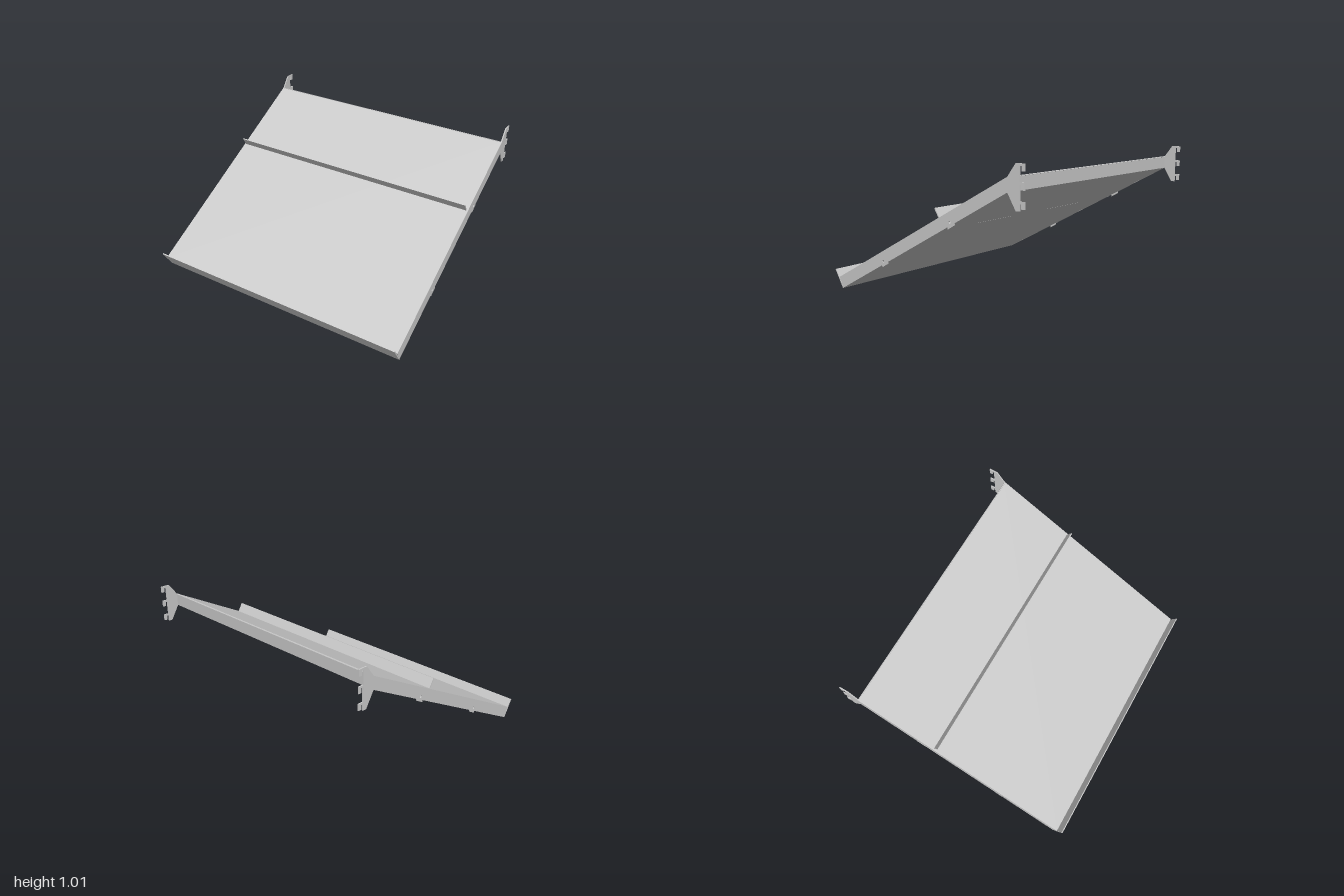
import * as THREE from 'three';

const material = new THREE.MeshStandardMaterial({ color: 0xcccccc, flatShading: true, side: THREE.DoubleSide });
const PLATE = 0.008;

// Extrudes a [z, y] outline across x, starting at xMin.
function profile(name, points, xMin, width, holes = []) {
  const shape = new THREE.Shape(points.map(([z, y]) => new THREE.Vector2(z, y)));
  for (const [z, y, r] of holes) {
    const hole = new THREE.Path();
    hole.absarc(z, y, r, 0, Math.PI * 2, true);
    shape.holes.push(hole);
  }
  const geometry = new THREE.ExtrudeGeometry(shape, { depth: width, bevelEnabled: false, curveSegments: 10 });
  geometry.rotateY(-Math.PI / 2);
  geometry.translate(xMin + width, 0, 0);
  const mesh = new THREE.Mesh(geometry, material);
  mesh.name = name;
  return mesh;
}

// Thin sheet seen edge-on as a line from a to b, thickened to one side.
function sheet(name, a, b, halfWidth, thickness) {
  const dz = b[0] - a[0], dy = b[1] - a[1], k = thickness / Math.hypot(dz, dy);
  const n = [-dy * k, dz * k];
  return profile(name, [a, b, [b[0] + n[0], b[1] + n[1]], [a[0] + n[0], a[1] + n[1]]], -halfWidth, 2 * halfWidth);
}

export function createModel() {
  const group = new THREE.Group();
  group.name = 'slopedShelf';

  // Corners of the sloped tray in side profile
  const frontLow = [0.8, 0], frontHigh = [0.84, 0.075];
  const backHigh = [-0.75, 0.92], backLow = [-0.75, 0.828];
  const inner = 1 - PLATE;

  // Hollow tray body
  group.add(sheet('topPanel', backHigh, frontHigh, inner, -0.005));
  group.add(sheet('bottomPanel', frontLow, backLow, inner, -0.005));
  group.add(sheet('backPanel', backLow, backHigh, inner, -0.005));

  // Front lip and middle divider, both square to the slope
  group.add(sheet('frontLip', frontLow, [0.878, 0.13], 1, -0.008));
  group.add(sheet('divider', [-0.222, 0.545], [-0.141, 0.677], 0.988, 0.008));

  // Side brackets: tray side, lower tabs with holes, and rear hooks
  const tab = (z) => {
    const y = (0.8 - z) * 0.534;
    return [[z, y], [z - 0.001, y - 0.015], [z - 0.058, y + 0.017], [z - 0.059, y + 0.031]];
  };
  const hook = (y) => [
    [-0.84, y - 0.045], [-0.84, y - 0.014], [-0.853, y - 0.014],
    [-0.853, y - 0.045], [-0.877, y - 0.045], [-0.877, y],
  ];
  const outline = [
    frontLow, ...tab(0.363), ...tab(-0.268), backLow,
    [-0.812, 0.725], [-0.84, 0.725],
    [-0.84, 0.738], [-0.853, 0.738], [-0.877, 0.738], [-0.877, 0.783], [-0.84, 0.783],
    ...hook(0.893).slice(1), [-0.84, 0.893],
    ...hook(1.003).slice(1), [-0.812, 1.003],
    backHigh, frontHigh,
  ];
  // Lowest hook has the same downward notch as the others
  outline.splice(outline.findIndex((p) => p[1] === 0.738), 2, [-0.84, 0.769], [-0.853, 0.769], [-0.853, 0.738]);
  const holes = [[0.35, 0.264, 0.009], [-0.287, 0.603, 0.009]];
  group.add(profile('leftBracket', outline, inner, PLATE, holes));
  group.add(profile('rightBracket', outline, -1, PLATE, holes));

  return group;
}
